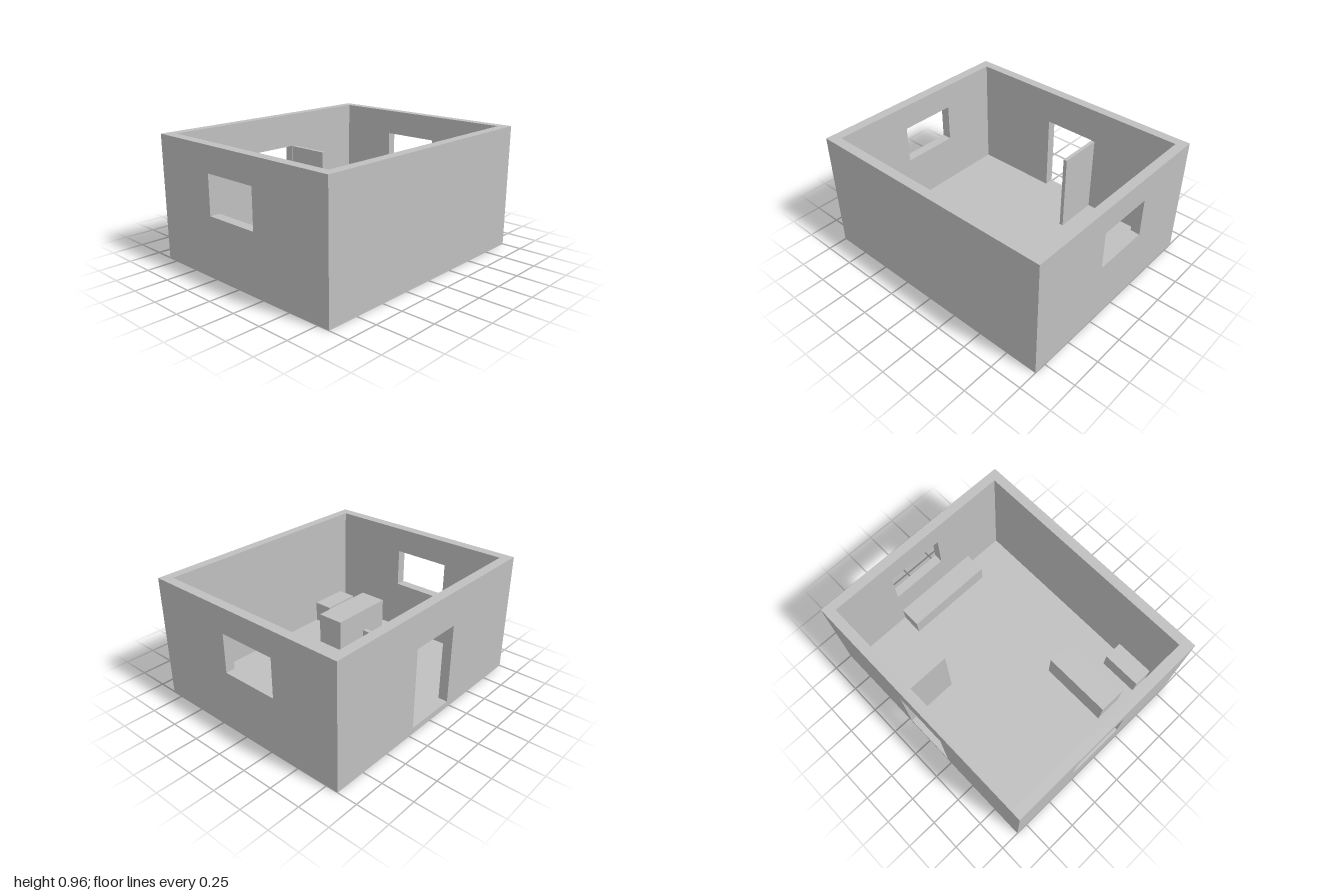
import * as THREE from 'three';

const W = 0.845, H = 0.96;               // half width, wall height
const IX = 0.77, ZB = -0.927, ZF = 0.92; // inner faces of the walls
const FLOOR = 0.05;

const plaster = new THREE.MeshStandardMaterial({ color: 0xbfbfbf });
plaster.name = 'plaster grey';

function add(group, name, geometry) {
  const mesh = new THREE.Mesh(geometry, plaster);
  mesh.name = name;
  group.add(mesh);
  return mesh;
}

// Box given by its limits on each axis
function block(group, name, [x0, x1], [y0, y1], [z0, z1]) {
  const mesh = add(group, name, new THREE.BoxGeometry(x1 - x0, y1 - y0, z1 - z0));
  mesh.position.set((x0 + x1) / 2, (y0 + y1) / 2, (z0 + z1) / 2);
}

function rectangle(target, u0, u1, v0, v1) {
  target.moveTo(u0, v0);
  target.lineTo(u1, v0);
  target.lineTo(u1, v1);
  target.lineTo(u0, v1);
  target.closePath();
  return target;
}

// Upright slab from u0 to u1 with one rectangular opening
function wallWithOpening(u0, u1, depth, opening) {
  const shape = rectangle(new THREE.Shape(), u0, u1, 0, H);
  shape.holes.push(rectangle(new THREE.Path(), ...opening));
  return new THREE.ExtrudeGeometry(shape, { depth, bevelEnabled: false });
}

export function createModel() {
  const room = new THREE.Group();
  room.name = 'room';

  // Front and back walls with matching windows
  const pane = [-0.293, 0.167, 0.457, 0.762];
  add(room, 'frontWall', wallWithOpening(-W, W, 1 - ZF, pane)).position.z = ZF;
  add(room, 'backWall', wallWithOpening(-W, W, ZB + 1, pane)).position.z = -1;

  // Side walls: a doorway on one side, solid on the other
  const doorWall = wallWithOpening(ZB, ZF, W - IX, [-0.21, 0.217, FLOOR, 0.69]);
  doorWall.rotateY(-Math.PI / 2);
  add(room, 'doorWall', doorWall).position.x = -IX;
  block(room, 'solidWall', [IX, W], [0, H], [ZB, ZF]);

  block(room, 'floor', [-IX, IX], [0, FLOOR], [ZB, ZF]);

  // Open door leaf and furniture
  block(room, 'openDoor', [-IX, -0.41], [FLOOR, 0.687], [-0.245, -0.215]);
  block(room, 'bench', [-0.295, 0.435], [FLOOR, 0.206], [-0.92, -0.748]);
  block(room, 'table', [0.243, 0.473], [FLOOR, 0.312], [0.253, 0.815]);
  block(room, 'seat', [0.614, IX], [FLOOR, 0.222], [0.523, 0.847]);

  return room;
}
